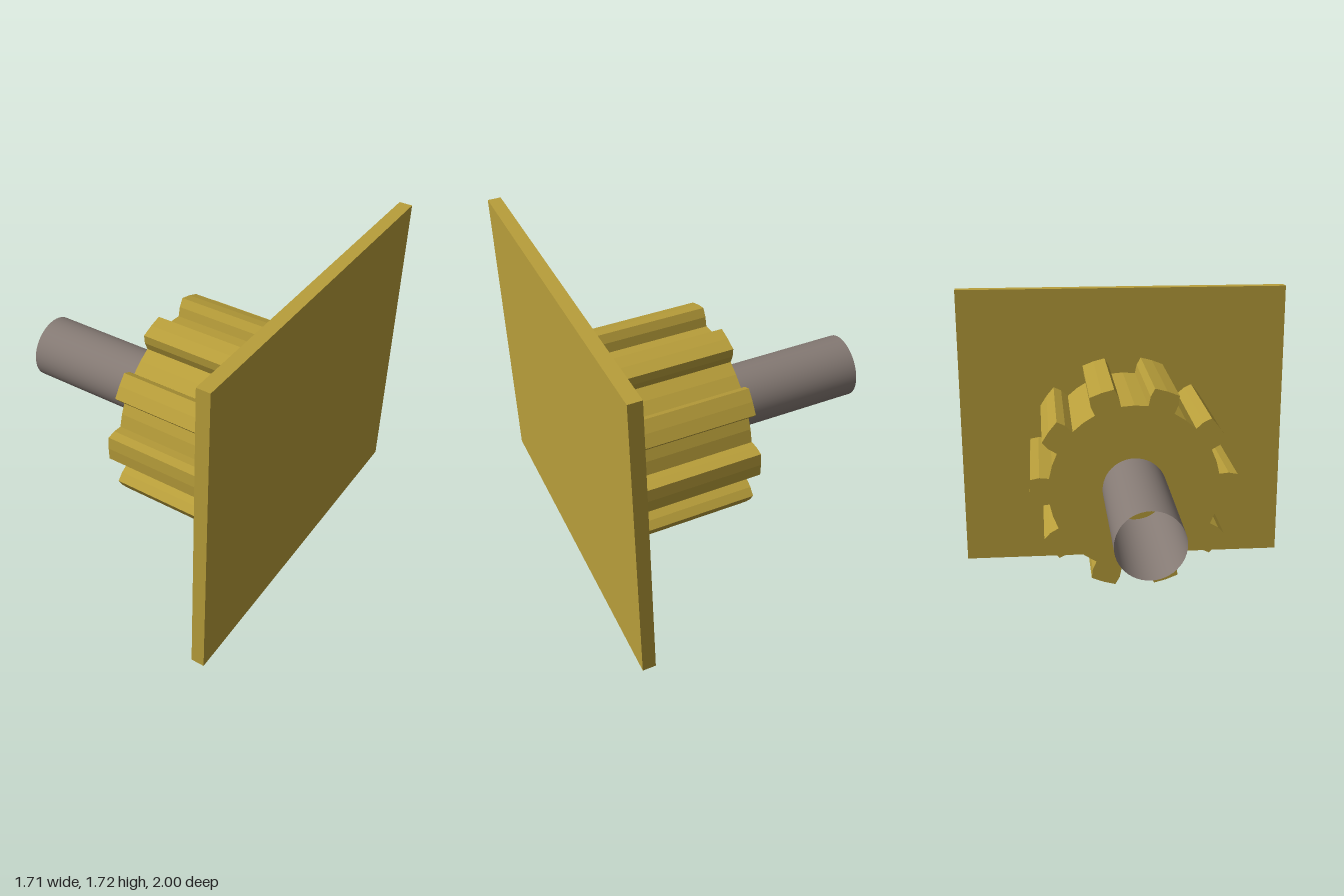
import * as THREE from 'three';

const AXIS_Y = 0.72;
const TEETH = 10;

// Half of a tooth outline: [radius, angle from tooth centre in degrees]
const FLANK = [[0.481, 9], [0.535, 8.7], [0.583, 7]];

function gearShape() {
  const points = [];
  const add = (r, deg) => {
    const a = THREE.MathUtils.degToRad(deg);
    points.push(new THREE.Vector2(r * Math.cos(a), r * Math.sin(a)));
  };
  for (let i = 0; i < TEETH; i++) {
    const centre = (i * 360) / TEETH;
    for (const [r, a] of FLANK) add(r, centre - a);
    add(0.583, centre);
    for (const [r, a] of [...FLANK].reverse()) add(r, centre + a);
    add(0.481, centre + 180 / TEETH);
  }
  return new THREE.Shape(points);
}

export function createModel() {
  const group = new THREE.Group();
  const brass = new THREE.MeshStandardMaterial({ color: 0xb89e3a });
  const steel = new THREE.MeshStandardMaterial({ color: 0x857a74, side: THREE.DoubleSide });

  const part = (name, geometry, material, x, y) => {
    const mesh = new THREE.Mesh(geometry, material);
    mesh.name = name;
    mesh.position.set(x, y, 0);
    group.add(mesh);
  };

  // Thin upright plate
  part('backPlate', new THREE.BoxGeometry(0.072, 1.72, 2), brass, 0.821, 0.86);

  // Toothed pinion running along x up to the plate
  const gear = new THREE.ExtrudeGeometry(gearShape(), { depth: 0.805, bevelEnabled: false });
  gear.rotateY(Math.PI / 2);
  part('pinionGear', gear, brass, -0.02, AXIS_Y);

  // Open-ended hollow shaft
  const shaft = new THREE.CylinderGeometry(0.18, 0.18, 0.838, 48, 1, true);
  shaft.rotateZ(Math.PI / 2);
  part('shaft', shaft, steel, -0.439, AXIS_Y);

  return group;
}
